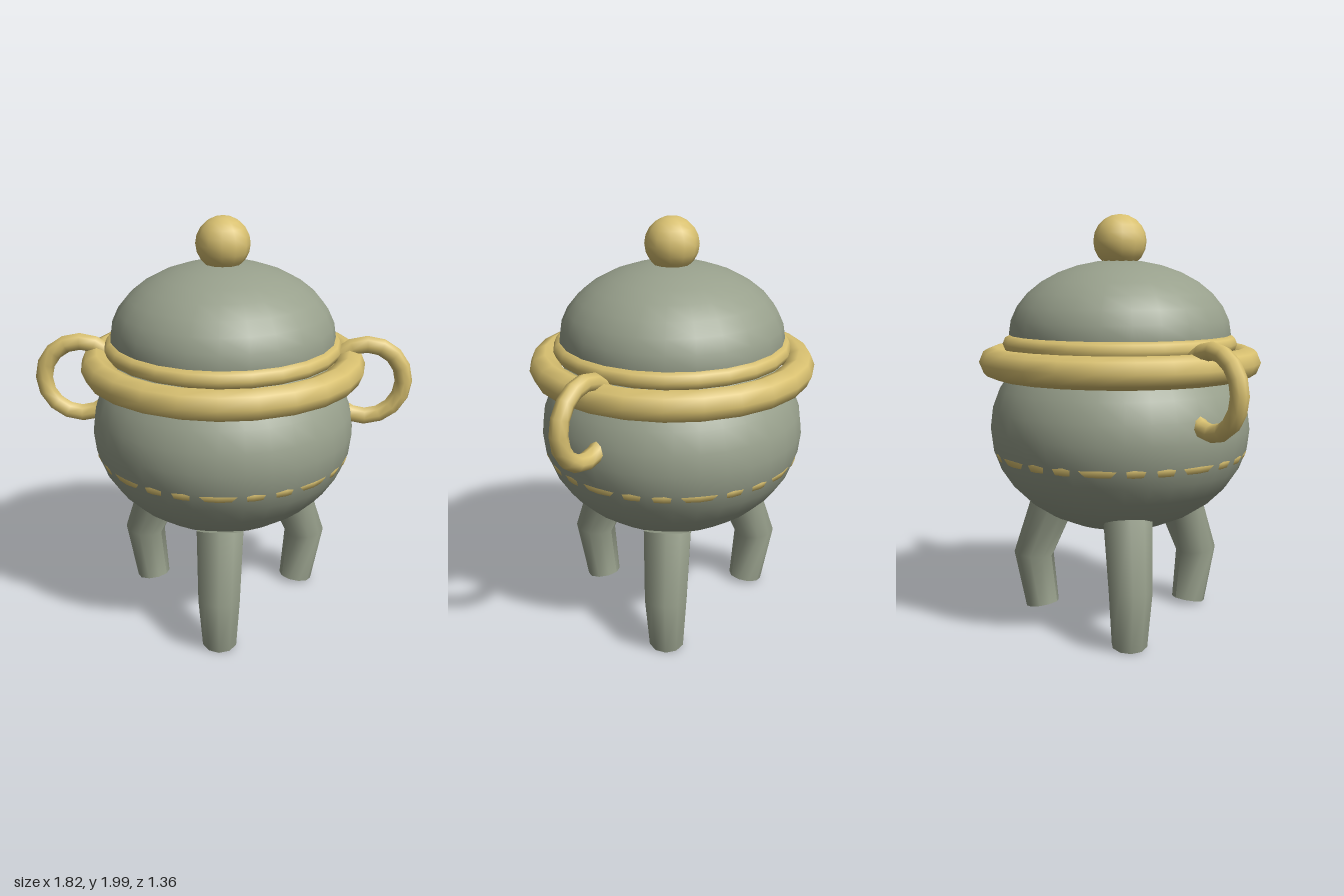
import * as THREE from 'three';

const stone = new THREE.MeshStandardMaterial({ color: 0x98a08c });
stone.name = 'greyGreenCeramic';
const gold = new THREE.MeshStandardMaterial({ color: 0xd8c070 });
gold.name = 'paleGold';

// Bent, tapered leg in the yz plane; each row is a ring of the cylinder, foot first
const LEG_ROWS = [
  { z: 0.44, y: 0.025, r: 0.084, tilt: -0.18 },
  { z: 0.488, y: 0.29, r: 0.102, tilt: 0.1 },
  { z: 0.368, y: 0.582, r: 0.115, tilt: 0.38 },
];

function legGeometry() {
  const geo = new THREE.CylinderGeometry(1, 1, 2, 10, 2);
  geo.rotateY(Math.PI); // seam faces inward
  const p = geo.attributes.position;
  for (let i = 0; i < p.count; i++) {
    const row = LEG_ROWS[Math.round(p.getY(i)) + 1];
    const out = p.getZ(i) * row.r;
    p.setXYZ(i, p.getX(i) * row.r, row.y + out * Math.sin(row.tilt), row.z + out * Math.cos(row.tilt));
  }
  geo.computeVertexNormals();
  return geo;
}

export function createModel() {
  const model = new THREE.Group();
  model.name = 'tripodCenser';

  const add = (name, geo, mat, x = 0, y = 0) => {
    const mesh = new THREE.Mesh(geo, mat);
    mesh.name = name;
    mesh.position.set(x, y, 0);
    model.add(mesh);
    return mesh;
  };
  const hoop = (name, y, radius, tube) =>
    add(name, new THREE.TorusGeometry(radius, tube, 8, 24).rotateX(Math.PI / 2), gold, 0, y);

  // Squashed round bowl
  add('bowl', new THREE.SphereGeometry(0.63, 32, 16).scale(1, 0.5 / 0.63, 1), stone, 0, 0.98);

  // Domed lid and its knob
  add('lid', new THREE.SphereGeometry(0.535, 24, 8, 0, Math.PI * 2, 0, Math.PI / 2)
    .scale(1, 0.355 / 0.535, 1), stone, 0, 1.43);
  add('knob', new THREE.SphereGeometry(0.128, 12, 10), gold, 0, 1.872);

  // Gold hoops: thick collar, lid rim, and a band almost flush with the bowl
  hoop('collar', 1.3, 0.605, 0.074);
  hoop('lidRim', 1.387, 0.522, 0.043);
  hoop('bowlBand', 0.87, 0.575, 0.041);

  // Ring handles sunk into the bowl on both sides
  for (const side of [1, -1]) {
    add(side > 0 ? 'leftHandle' : 'rightHandle',
      new THREE.TorusGeometry(0.181, 0.042, 8, 16), gold, side * 0.685, 1.213);
  }

  // Three legs, one in front
  const leg = legGeometry();
  ['frontLeg', 'backLeftLeg', 'backRightLeg'].forEach((name, i) => {
    add(name, leg, stone).rotation.y = (i * Math.PI * 2) / 3;
  });

  return model;
}
